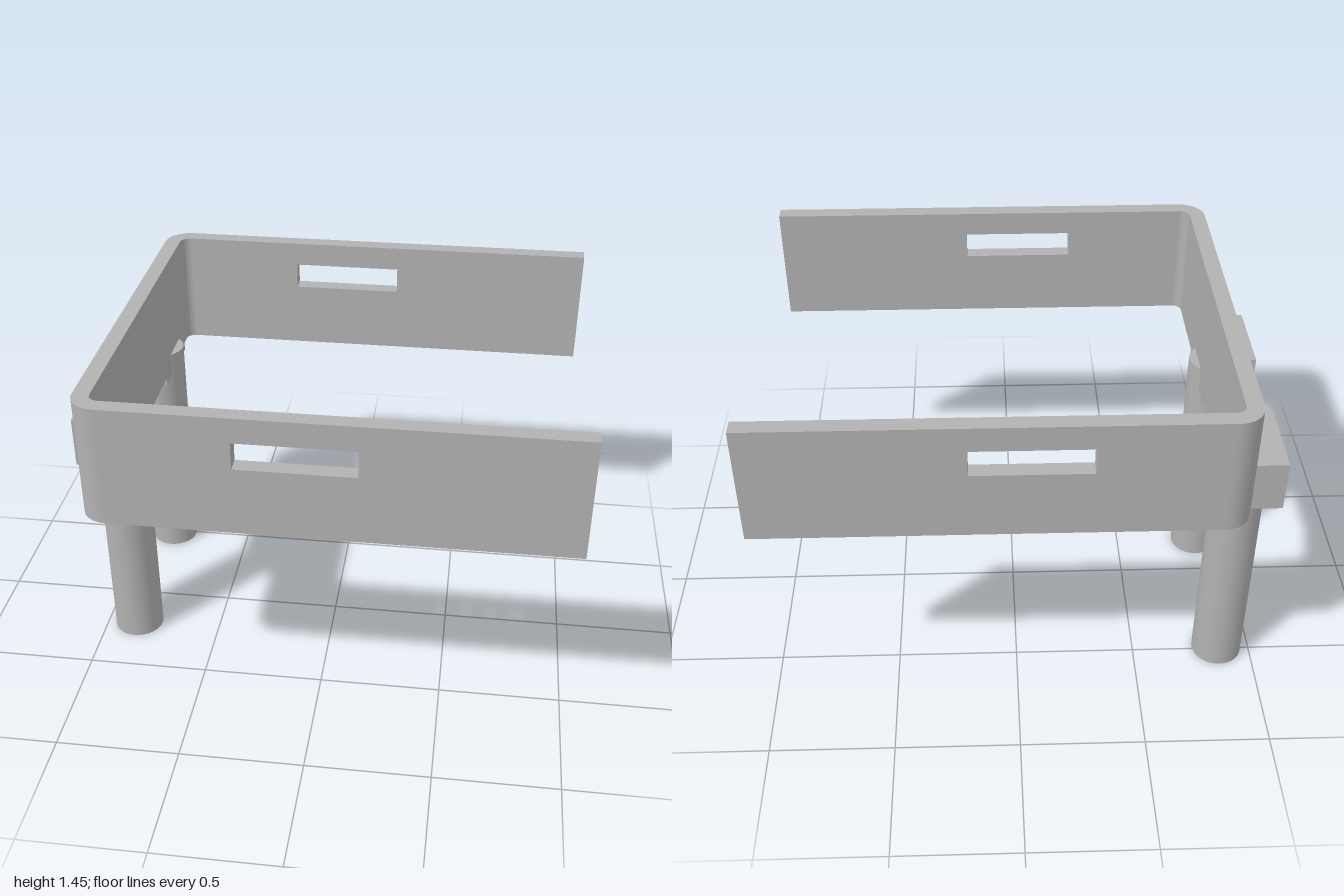
import * as THREE from 'three';
import { toCreasedNormals } from 'three/addons/utils/BufferGeometryUtils.js';

const BASE = 0.962, TOP = 1.445;      // height of the strap
const BACK = -0.86, HALF = 0.815;     // outer faces of the strap
const WALL = 0.065, BEND = 0.105;     // thickness and outer bend radius
const BEND_X = BACK + BEND;

export function createModel() {
  const grey = new THREE.MeshStandardMaterial({ color: 0xb2b2b2 });
  grey.name = 'plain grey';
  const model = new THREE.Group();
  model.name = 'bracket';

  const add = (name, geometry, x = 0, y = 0, z = 0) => {
    const mesh = new THREE.Mesh(toCreasedNormals(geometry, 0.6), grey);
    mesh.name = name;
    mesh.position.set(x, y, z);
    model.add(mesh);
  };
  const extrude = (shape, depth) =>
    new THREE.ExtrudeGeometry(shape, { depth, bevelEnabled: false, curveSegments: 12 });
  const polygon = (points) => new THREE.Shape(points.map(([x, y]) => new THREE.Vector2(x, y)));
  const rectangle = (x0, y0, x1, y1) => polygon([[x0, y0], [x1, y0], [x1, y1], [x0, y1]]);

  // Back plate with its two rounded bends, drawn in plan
  const c = HALF - BEND, inner = BEND - WALL;
  const plan = new THREE.Shape();
  plan.moveTo(BEND_X, HALF);
  plan.absarc(BEND_X, c, BEND, Math.PI / 2, Math.PI, false);
  plan.absarc(BEND_X, -c, BEND, Math.PI, Math.PI * 1.5, false);
  plan.absarc(BEND_X, -c, inner, Math.PI * 1.5, Math.PI, true);
  plan.absarc(BEND_X, c, inner, Math.PI, Math.PI / 2, true);
  plan.closePath();
  add('backPlate', extrude(plan, TOP - BASE).rotateX(-Math.PI / 2), 0, BASE, 0);

  // Slotted side arms
  const arm = rectangle(BEND_X, BASE, 1, TOP);
  arm.holes.push(rectangle(-0.27, 1.237, 0.183, 1.345));
  add('leftArm', extrude(arm, WALL), 0, 0, HALF - WALL);
  add('rightArm', extrude(arm, WALL), 0, 0, -HALF);

  // Clamp blocks with a lip under the back plate, and legs bored from below
  const blockProfile = polygon([
    [-1, 0.928], [BACK + WALL, 0.928], [BACK + WALL, BASE],
    [BACK, BASE], [BACK, 1.135], [-1, 1.135],
  ]);
  const legProfile = [
    [0, 0.9], [0.025, 0.9], [0.025, 0], [0.104, 0], [0.104, 1.03], [0, 1.03],
  ].map(([r, y]) => new THREE.Vector2(r, y));
  for (const [side, z] of [['front', 0.208], ['rear', -0.487]]) {
    add(side + 'Block', extrude(blockProfile, 0.348), 0, 0, z - 0.174);
    add(side + 'Leg', new THREE.LatheGeometry(legProfile, 48), -0.862, 0, z);
  }
  return model;
}
